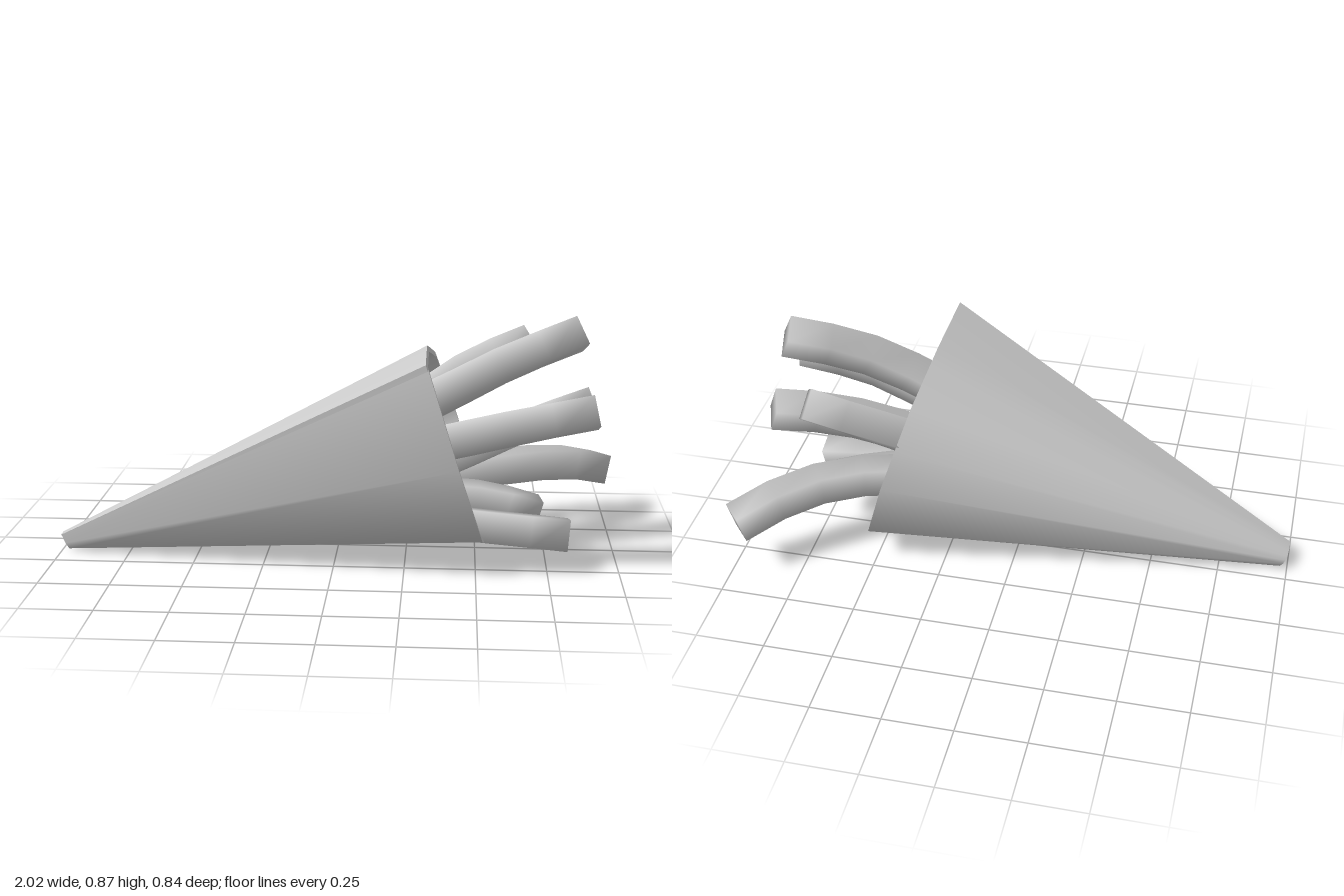
import * as THREE from 'three';
import { toCreasedNormals } from 'three/addons/utils/BufferGeometryUtils.js';

const material = () => new THREE.MeshStandardMaterial({ color: 0xcccccc, side: THREE.DoubleSide });

function makeGeometry(points, index) {
  const g = new THREE.BufferGeometry().setFromPoints(points);
  g.setIndex(index);
  g.computeVertexNormals();
  return g;
}

// Rim of the rolled paper as [z, y]; the first edge overlaps the last one
const RIM = [[0.42, 0.765], [0.1, 0.77], [0, 0.745], [-0.19, 0.69], [-0.27, 0.55], [-0.315, 0.41],
  [-0.22, 0.135], [0.07, 0.045], [0.355, 0.135], [0.415, 0.4], [0.375, 0.75]];

// Paper thickness: each rim point pushed inwards along its averaged normal
function inset(pts, d) {
  return pts.map(([z, y], i) => {
    const a = pts[Math.max(i - 1, 0)], b = pts[Math.min(i + 1, pts.length - 1)];
    const dz = b[0] - a[0], dy = b[1] - a[1], len = Math.hypot(dz, dy);
    return [z - (dy / len) * d, y + (dz / len) * d];
  });
}

function paperCone() {
  const n = RIM.length;
  const loop = [...RIM, ...inset(RIM, 0.022).reverse()];
  const m = loop.length;
  const tip = loop.map(([z, y]) => {
    const ty = (y - 0.045) * 0.085;
    return new THREE.Vector3(-0.97 - ty * 0.5, ty, 0.1 + (z - 0.06) * 0.13);
  });
  const rim = loop.map(([z, y]) => new THREE.Vector3(0.32 + 0.32 * (0.765 - y), y, z));
  const index = [];
  for (let i = 0; i < m; i++) {
    const j = (i + 1) % m;
    index.push(i, m + i, m + j, i, m + j, j);
  }
  // Narrow strips closing the paper thickness at the tip and the rim
  for (let i = 0; i < n - 1; i++) {
    const p = m - 1 - i, q = p - 1;
    index.push(m + i, m + p, m + q, m + i, m + q, m + i + 1);
    index.push(i, q, p, i, i + 1, q);
  }
  const mesh = new THREE.Mesh(toCreasedNormals(makeGeometry([...tip, ...rim], index), 1.15), material());
  mesh.name = 'paperCone';
  return mesh;
}

// Square stick swept along a bent path, with soft shared normals
function fry(path, rollDegrees, radius = 0.077, steps = 6) {
  const curve = new THREE.CatmullRomCurve3(path.map(p => new THREE.Vector3(...p)));
  const up = new THREE.Vector3(0, 1, 0);
  const points = [], index = [];
  for (let i = 0; i <= steps; i++) {
    const c = curve.getPointAt(i / steps), t = curve.getTangentAt(i / steps);
    const side = t.clone().cross(up).normalize();
    const top = side.clone().cross(t);
    for (let k = 0; k < 4; k++) {
      const a = THREE.MathUtils.degToRad(45 + rollDegrees + 90 * k);
      points.push(c.clone().addScaledVector(side, Math.cos(a) * radius).addScaledVector(top, Math.sin(a) * radius));
      if (i < steps) {
        const p = i * 4 + k, q = i * 4 + (k + 1) % 4;
        index.push(p, p + 4, q + 4, p, q + 4, q);
      }
    }
  }
  const e = steps * 4;
  index.push(0, 1, 2, 0, 2, 3, e, e + 3, e + 2, e, e + 2, e + 1);
  return new THREE.Mesh(makeGeometry(points, index), material());
}

// Each fry: path from inside the cone to its free end, and roll about its length
const FRIES = [
  { path: [[0.02, 0.42, 0.11], [0.34, 0.58, 0.13], [0.6, 0.71, 0.09], [0.855, 0.8, 0.0]], roll: 27 },
  { path: [[0.02, 0.34, 0.0], [0.28, 0.5, -0.13], [0.48, 0.62, -0.22], [0.7, 0.71, -0.27]], roll: 53 },
  { path: [[0.05, 0.22, 0.14], [0.4, 0.36, 0.1], [0.68, 0.47, 0.02], [0.9, 0.53, -0.08]], roll: 22 },
  { path: [[0.05, 0.36, 0.17], [0.4, 0.46, 0.25], [0.65, 0.53, 0.29], [0.9, 0.58, 0.275]], roll: 20 },
  { path: [[0.1, 0.22, 0.05], [0.4, 0.27, -0.02], [0.66, 0.285, -0.13], [0.83, 0.265, -0.25], [0.97, 0.215, -0.37]], roll: 0 },
  { path: [[0.05, 0.2, 0.1], [0.35, 0.22, 0.08], [0.55, 0.2, 0.06], [0.72, 0.15, 0.04]], roll: 0 },
  { path: [[0.05, 0.14, 0.14], [0.35, 0.16, 0.2], [0.6, 0.15, 0.235], [0.82, 0.13, 0.235]], roll: 12 },
];

export function createModel() {
  const model = new THREE.Group();
  model.name = 'coneOfFries';
  model.add(paperCone());
  const fries = new THREE.Group();
  fries.name = 'fries';
  FRIES.forEach(({ path, roll }, i) => {
    const mesh = fry(path, roll);
    mesh.name = `fry${i + 1}`;
    fries.add(mesh);
  });
  model.add(fries);
  return model;
}
